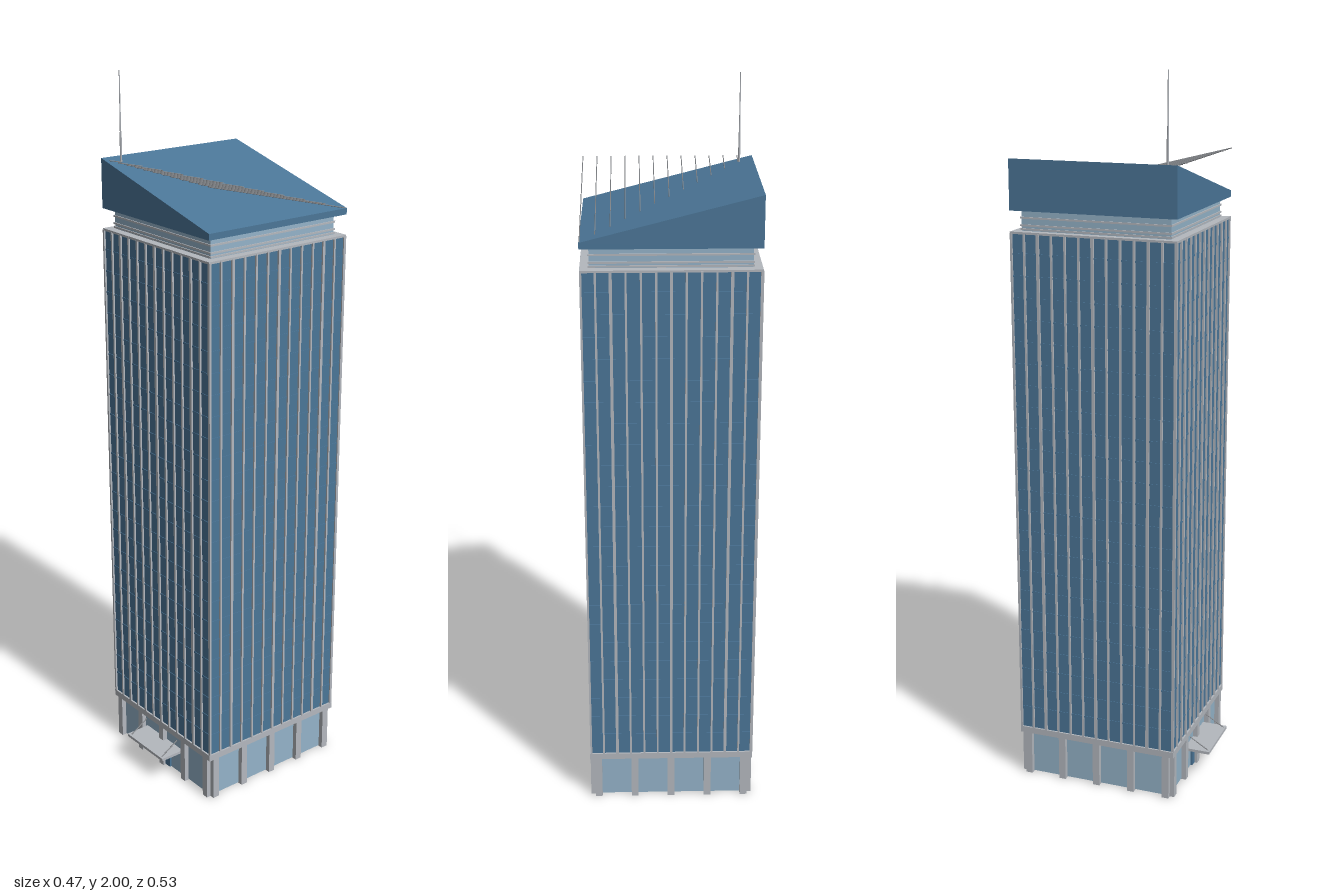
import * as THREE from 'three';

const mat = (name, color) => {
  const m = new THREE.MeshStandardMaterial({ color });
  m.name = name;
  return m;
};

export function createModel() {
  const glass = mat('tower glass', 0x4b7698);
  const paleGlass = mat('pale glass', 0x94b3c9);
  const stone = mat('pale stone', 0xb4b8be);
  const steel = mat('steel', 0x85888c);

  const model = new THREE.Group();
  model.name = 'officeTower';
  const building = new THREE.Group();
  building.name = 'building';
  building.position.z = -0.03;
  model.add(building);

  const box = (parent, name, m, w, h, d, x, y0, z) => {
    const mesh = new THREE.Mesh(new THREE.BoxGeometry(w, h, d), m);
    mesh.name = name;
    mesh.position.set(x, y0 + h / 2, z);
    parent.add(mesh);
    return mesh;
  };
  const rod = (parent, name, m, a, b, r0, r1 = r0) => {
    const dir = b.clone().sub(a);
    const mesh = new THREE.Mesh(new THREE.CylinderGeometry(r1, r0, dir.length(), 6), m);
    mesh.name = name;
    mesh.position.copy(a).add(b).multiplyScalar(0.5);
    mesh.quaternion.setFromUnitVectors(new THREE.Vector3(0, 1, 0), dir.normalize());
    parent.add(mesh);
  };
  const v = (x, y, z) => new THREE.Vector3(x, y, z);

  // Podium and shaft cores
  box(building, 'podiumGlass', paleGlass, 0.436, 0.13, 0.436, 0, 0.002, 0);
  box(building, 'podiumLintel', stone, 0.466, 0.018, 0.466, 0, 0.128, 0);
  box(building, 'shaft', glass, 0.456, 1.432, 0.456, 0, 0.146, 0);
  box(building, 'shaftCap', stone, 0.464, 0.006, 0.464, 0, 1.574, 0);

  // Thin floor lines around the shaft
  const floors = 24;
  for (let i = 1; i < floors; i++)
    box(building, 'floorLine', glass, 0.459, 0.005, 0.459, 0, 0.146 + (1.432 * i) / floors, 0);

  // Pillars and mullions repeated on the four sides
  for (let s = 0; s < 4; s++) {
    const side = new THREE.Group();
    side.name = 'facade';
    side.rotation.y = (s * Math.PI) / 2;
    building.add(side);
    for (let i = -2; i <= 2; i++)
      box(side, 'podiumPillar', stone, 0.02, 0.13, 0.02, i * 0.1045, 0, 0.222);
    for (let i = -6; i <= 5; i++) {
      const edge = i === -6;
      box(side, 'mullion', stone, i % 4 === 0 ? 0.008 : 0.0055, 1.43, edge ? 0.008 : 0.007,
        edge ? -0.229 : i * 0.0385, 0.146, 0.2295);
    }
  }

  // Recessed neck with louvre bands
  box(building, 'neck', paleGlass, 0.416, 0.06, 0.416, 0, 1.578, 0);
  for (const y of [1.582, 1.592, 1.612])
    box(building, 'neckBand', stone, 0.422, 0.005, 0.422, 0, y, 0);

  // Sloping roof, high on one side
  const profile = new THREE.Shape([
    new THREE.Vector2(-0.232, 1.635), new THREE.Vector2(0.232, 1.635),
    new THREE.Vector2(0.232, 1.652), new THREE.Vector2(-0.232, 1.77),
  ]);
  const roof = new THREE.Mesh(
    new THREE.ExtrudeGeometry(profile, { depth: 0.464, bevelEnabled: false }), glass);
  roof.name = 'slopedRoof';
  roof.position.z = -0.232;
  building.add(roof);

  // Raking rods from the roof diagonal up to the front edge
  for (let i = 1; i <= 12; i++) {
    const t = i / 12;
    const x = -0.23 + 0.46 * t;
    rod(building, 'roofRod', steel, v(x, 1.77 - 0.118 * t, 0.23 - 0.46 * t), v(x, 1.769, 0.232), 0.0014);
  }

  // Antenna
  rod(building, 'antennaBase', stone, v(-0.195, 1.75, 0.193), v(-0.195, 1.84, 0.193), 0.0032);
  rod(building, 'antennaMast', stone, v(-0.195, 1.84, 0.193), v(-0.195, 2, 0.193), 0.0022, 0.0014);

  // Entrance doors and canopy
  for (const s of [-1, 1]) {
    box(model, 'door', glass, 0.026, 0.064, 0.006, s * 0.0175, 0.002, 0.191);
    rod(model, 'canopyStay', steel, v(s * 0.075, 0.118, 0.2), v(s * 0.075, 0.084, 0.256), 0.0017);
  }
  box(model, 'canopy', stone, 0.172, 0.008, 0.075, 0, 0.077, 0.2245);

  return model;
}
